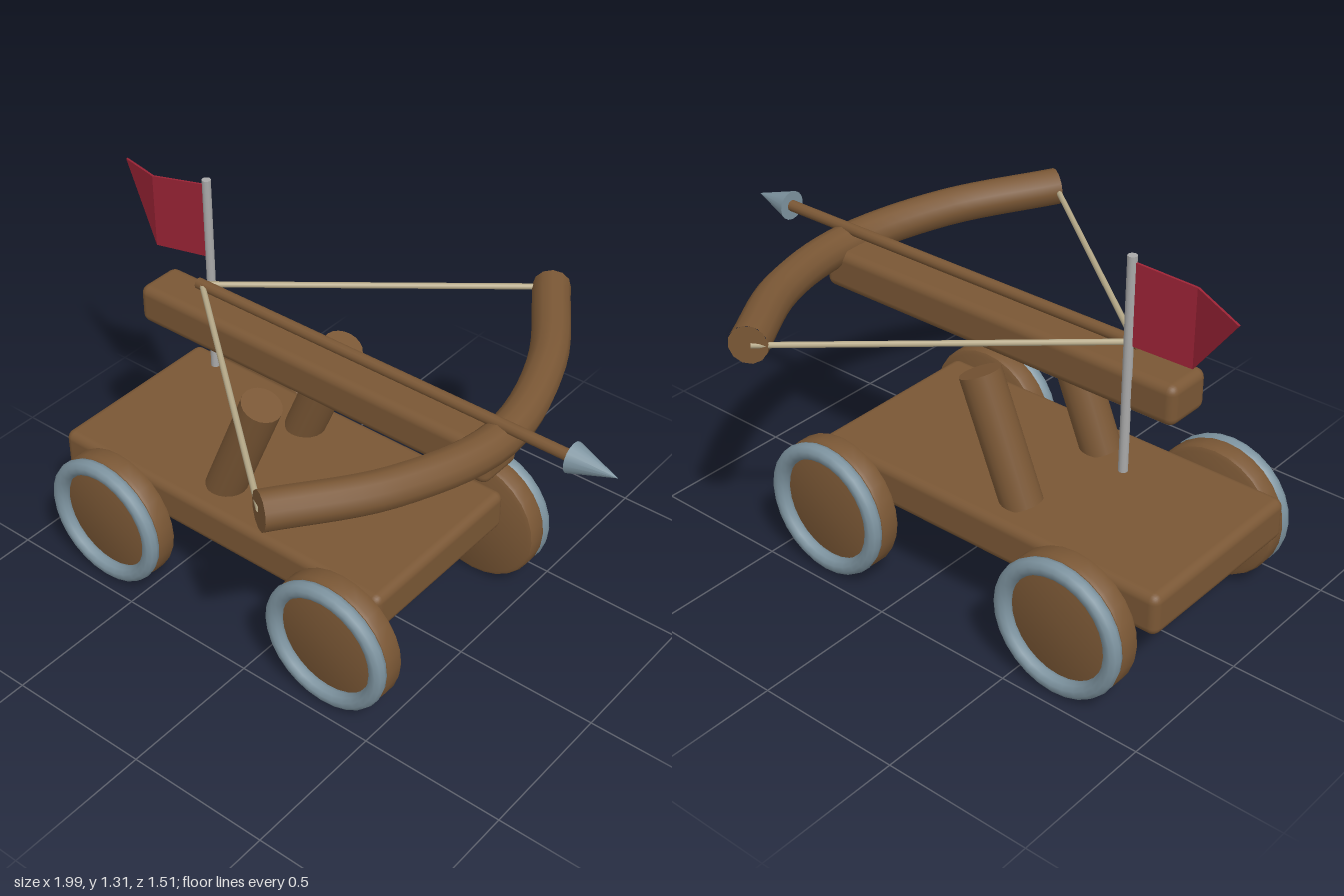
import * as THREE from 'three';
import { RoundedBoxGeometry } from 'three/addons/geometries/RoundedBoxGeometry.js';
import { toCreasedNormals } from 'three/addons/utils/BufferGeometryUtils.js';

function material(name, color, side = THREE.FrontSide) {
  const m = new THREE.MeshStandardMaterial({ color, side });
  m.name = name;
  return m;
}

export function createModel() {
  const wood = material('wood', 0x7a5735);
  const steel = material('steel', 0x7d939f);
  const poleGrey = material('poleGrey', 0xa9a9a9);
  const cord = material('cord', 0xb8ab8a);
  const flagRed = material('flagRed', 0x9b2335, THREE.DoubleSide);
  const model = new THREE.Group();
  model.name = 'siegeBow';
  const v = (x, y, z) => new THREE.Vector3(x, y, z);

  function add(name, geometry, mat, x = 0, y = 0, z = 0, parent = model) {
    const mesh = new THREE.Mesh(geometry, mat);
    mesh.name = name;
    mesh.position.set(x, y, z);
    parent.add(mesh);
    return mesh;
  }

  // Straight round rod between two points
  function rod(name, a, b, radius, mat, sides = 16) {
    const geometry = new THREE.CylinderGeometry(radius, radius, a.distanceTo(b), sides);
    const mesh = add(name, geometry, mat);
    mesh.position.copy(a).lerp(b, 0.5);
    mesh.quaternion.setFromUnitVectors(v(0, 1, 0), b.clone().sub(a).normalize());
    return mesh;
  }

  // Chassis and the beam carrying the bow
  add('chassis', new RoundedBoxGeometry(1.345, 0.145, 0.675, 3, 0.03), wood, -0.26, 0.343, 0);
  add('beam', new RoundedBoxGeometry(1.39, 0.137, 0.17, 3, 0.03), wood, -0.085, 0.868, 0);

  // Wheels: bevelled wooden discs with a steel ring on the outer face
  const discProfile = [[0, -0.04], [0.215, -0.04], [0.228, -0.034], [0.233, -0.022],
    [0.233, 0.022], [0.228, 0.034], [0.215, 0.04], [0, 0.04]]
    .map(([r, h]) => new THREE.Vector2(r, h));
  const disc = toCreasedNormals(new THREE.LatheGeometry(discProfile, 28).rotateX(Math.PI / 2), 0.65);
  const ring = new THREE.TorusGeometry(0.206, 0.028, 10, 28);
  for (const x of [-0.655, 0.29]) {
    for (const side of [1, -1]) {
      const wheel = new THREE.Group();
      wheel.name = `${x > 0 ? 'front' : 'rear'}${side > 0 ? 'Near' : 'Far'}Wheel`;
      wheel.position.set(x, 0.235, side * 0.386);
      add('disc', disc, wood, 0, 0, 0, wheel);
      add('ring', ring, steel, 0, 0, side * 0.054, wheel);
      model.add(wheel);
    }
  }

  // Leaning posts
  for (const side of [1, -1]) {
    rod('post', v(-0.325, 0.405, side * 0.2), v(-0.155, 0.812, side * 0.2), 0.068, wood, 20);
  }

  // Curved bow limb with closed ends
  const bowPath = new THREE.CatmullRomCurve3([
    v(0.29, 0.965, -0.722), v(0.5, 0.942, -0.38), v(0.593, 0.925, 0),
    v(0.5, 0.942, 0.38), v(0.29, 0.965, 0.722),
  ]);
  add('bow', new THREE.TubeGeometry(bowPath, 28, 0.062, 12), wood);
  for (const t of [0, 1]) {
    const end = bowPath.getPoint(t);
    const outward = bowPath.getTangent(t).multiplyScalar(t ? 1 : -1);
    const cap = add('bowEnd', new THREE.CircleGeometry(0.062, 12), wood, end.x, end.y, end.z);
    cap.quaternion.setFromUnitVectors(v(0, 0, 1), outward);
  }

  // Drawn bowstring
  for (const side of [1, -1]) {
    rod('bowstring', v(-0.575, 0.983, 0), v(0.285, 0.963, side * 0.715), 0.01, cord, 8);
  }

  // Arrow
  rod('arrowShaft', v(-0.59, 0.982, 0), v(0.86, 0.982, 0), 0.019, wood, 12);
  const head = add('arrowHead', new THREE.ConeGeometry(0.05, 0.152, 16), steel, 0.918, 0.982, 0);
  head.rotation.z = -Math.PI / 2;

  // Flag pole beside the beam
  rod('flagPole', v(-0.617, 0.597, -0.088), v(-0.617, 1.313, -0.088), 0.015, poleGrey, 12);

  // Folded pennant: a panel by the pole and a pointed tail, each a thin slab
  const half = 0.004;
  const outline = [
    [-0.617, 1.295, -0.088], [-0.82, 1.268, -0.056], [-1, 1.24, -0.12],
    [-0.82, 1.01, -0.056], [-0.617, 1.028, -0.088],
  ];
  const points = [half, -half].flatMap((d) => outline.flatMap(([x, y, z]) => [x, y, z + d]));
  const faces = [0, 1, 3, 0, 3, 4, 1, 2, 3, 5, 8, 6, 5, 9, 8, 6, 8, 7];
  for (let i = 0; i < 5; i++) {
    const j = (i + 1) % 5;
    faces.push(i, i + 5, j, j, i + 5, j + 5);
  }
  const cloth = new THREE.BufferGeometry();
  cloth.setAttribute('position', new THREE.Float32BufferAttribute(points, 3));
  cloth.setIndex(faces);
  const flatCloth = cloth.toNonIndexed();
  flatCloth.computeVertexNormals();
  add('flag', flatCloth, flagRed);

  return model;
}
